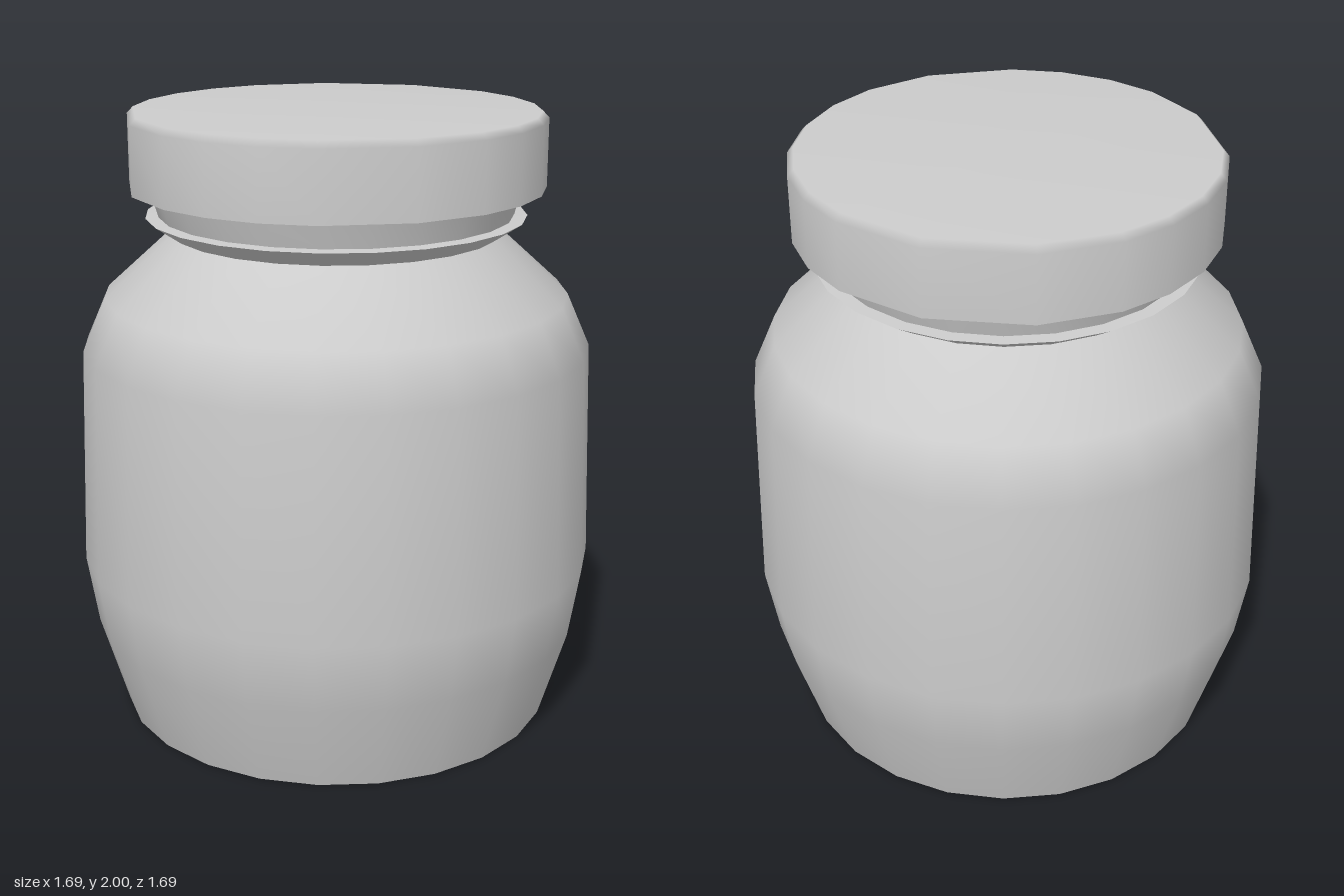
import * as THREE from 'three';
import { mergeVertices } from 'three/addons/utils/BufferGeometryUtils.js';

const material = new THREE.MeshStandardMaterial({ color: 0xcccccc });

// Evenly spaced jar sides, and the slightly uneven sides of the crimped lid (degrees)
const JAR_ANGLES = Array.from({ length: 24 }, (_, i) => i * 15);
const LID_ANGLES = [0, 15, 30, 45, 60, 75, 100, 128, 150, 165, 180, 195, 210, 235, 255, 270, 285, 300, 325, 345];

// Turned part: profile of [radius, height] pairs, smooth-shaded within the part
function turned(name, profile, angles = JAR_ANGLES) {
  const points = profile.map(([r, y]) => new THREE.Vector2(r, y));
  const lathe = new THREE.LatheGeometry(points, angles.length);
  const pos = lathe.attributes.position;
  for (let i = 0; i < pos.count; i++) {
    const a = THREE.MathUtils.degToRad(angles[Math.floor(i / points.length) % angles.length]);
    const [r, y] = profile[i % points.length];
    pos.setXYZ(i, r * Math.cos(a), y, -r * Math.sin(a));
  }
  lathe.deleteAttribute('uv');
  lathe.deleteAttribute('normal');
  const geometry = mergeVertices(lathe);
  geometry.computeVertexNormals();
  const mesh = new THREE.Mesh(geometry, material);
  mesh.name = name;
  return mesh;
}

export function createModel() {
  const model = new THREE.Group();
  model.name = 'jar';

  // Glass body, with a sharp foot edge
  const body = new THREE.Group();
  body.name = 'body';
  body.add(
    turned('base', [[0, 0], [0.72, 0]]),
    turned('wall', [[0.72, 0], [0.81, 0.3], [0.847, 0.53], [0.825, 1.24], [0.75, 1.41], [0.53, 1.61]]),
  );

  // Neck with a flared ring
  const neck = new THREE.Group();
  neck.name = 'neck';
  neck.add(
    turned('ringFlare', [[0.53, 1.61], [0.612, 1.665]]),
    turned('ringTop', [[0.612, 1.665], [0.57, 1.668]]),
    turned('neckWall', [[0.57, 1.668], [0.597, 1.76]]),
  );

  // Lid with a small bevel running smoothly into its top
  const lid = new THREE.Group();
  lid.name = 'lid';
  lid.add(
    turned('lidUnderside', [[0, 1.757], [0.67, 1.757]], LID_ANGLES),
    turned('lidCap', [[0.67, 1.757], [0.67, 1.975], [0.65, 1.996], [0, 2]], LID_ANGLES),
  );

  model.add(body, neck, lid);
  return model;
}
